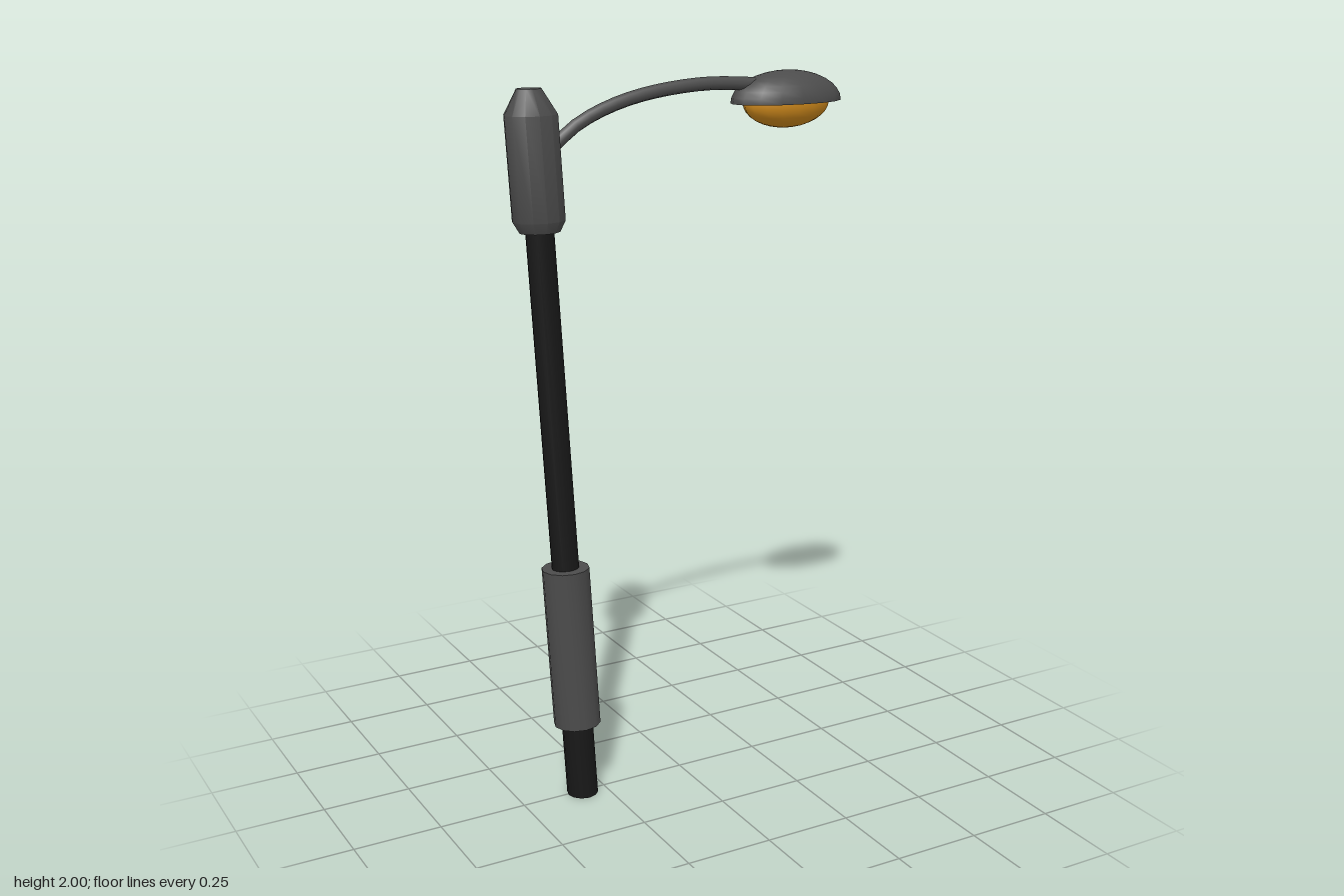
import * as THREE from 'three';
import { toCreasedNormals } from 'three/addons/utils/BufferGeometryUtils.js';

const darkGrey = new THREE.MeshStandardMaterial({ color: 0x4c4c4c });
const black = new THREE.MeshStandardMaterial({ color: 0x181818 });
const amber = new THREE.MeshStandardMaterial({ color: 0xd08a1c });

// The post leans toward -x while its rings stay level
const lean = new THREE.Matrix4().set(
  1, -0.058, 0, -0.32,
  0, 1, 0, 0,
  0, 0, 1, 0.005,
  0, 0, 0, 1);

export function createModel() {
  const model = new THREE.Group();
  model.name = 'streetLamp';

  function add(name, geometry, material) {
    const mesh = new THREE.Mesh(geometry, material);
    mesh.name = name;
    model.add(mesh);
    return mesh;
  }

  // Turned section of the leaning post; profile is [radius, height] from the bottom up
  function postPart(name, profile, depth, material) {
    const points = [[0, profile[0][1]], ...profile, [0, profile[profile.length - 1][1]]]
      .map(([r, y]) => new THREE.Vector2(r, y));
    const geometry = toCreasedNormals(new THREE.LatheGeometry(points, 12), 0.54);
    geometry.scale(1, 1, depth).applyMatrix4(lean);
    add(name, geometry, material);
  }

  postPart('lowerPole', [[0.044, 0], [0.044, 0.25]], 1, black);
  postPart('sleeve', [[0.067, 0.22], [0.067, 0.69]], 0.9, darkGrey);
  postPart('upperPole', [[0.039, 0.66], [0.039, 1.65]], 0.82, black);
  postPart('postHead', [[0.056, 1.62], [0.073, 1.65], [0.073, 1.92], [0.034, 1.985]], 0.75, darkGrey);

  // Curved arm from the post head to the lamp shade
  const path = new THREE.CatmullRomCurve3([
    [-0.37, 1.835], [-0.29, 1.893], [-0.15, 1.945], [0.06, 1.973], [0.26, 1.965],
  ].map(([x, y]) => new THREE.Vector3(x, y, 0)));
  add('arm', new THREE.TubeGeometry(path, 16, 0.018, 8, false), darkGrey).material =
    new THREE.MeshStandardMaterial({ color: 0x4c4c4c, side: THREE.DoubleSide });

  // Lamp: domed shade, flat underside and glowing bulb
  function lampPart(name, geometry, size, material) {
    const mesh = add(name, geometry, material);
    mesh.scale.set(...size);
    mesh.position.set(0.332, 1.915, 0);
  }
  const half = Math.PI / 2;
  lampPart('shade', new THREE.SphereGeometry(1, 16, 8, 0, Math.PI * 2, 0, half), [0.169, 0.085, 0.089], darkGrey);
  lampPart('shadeUnderside', new THREE.CircleGeometry(1, 16).rotateX(half), [0.169, 1, 0.089], darkGrey);
  lampPart('bulb', new THREE.SphereGeometry(1, 16, 8, 0, Math.PI * 2, half, half), [0.132, 0.07, 0.07], amber);

  return model;
}
